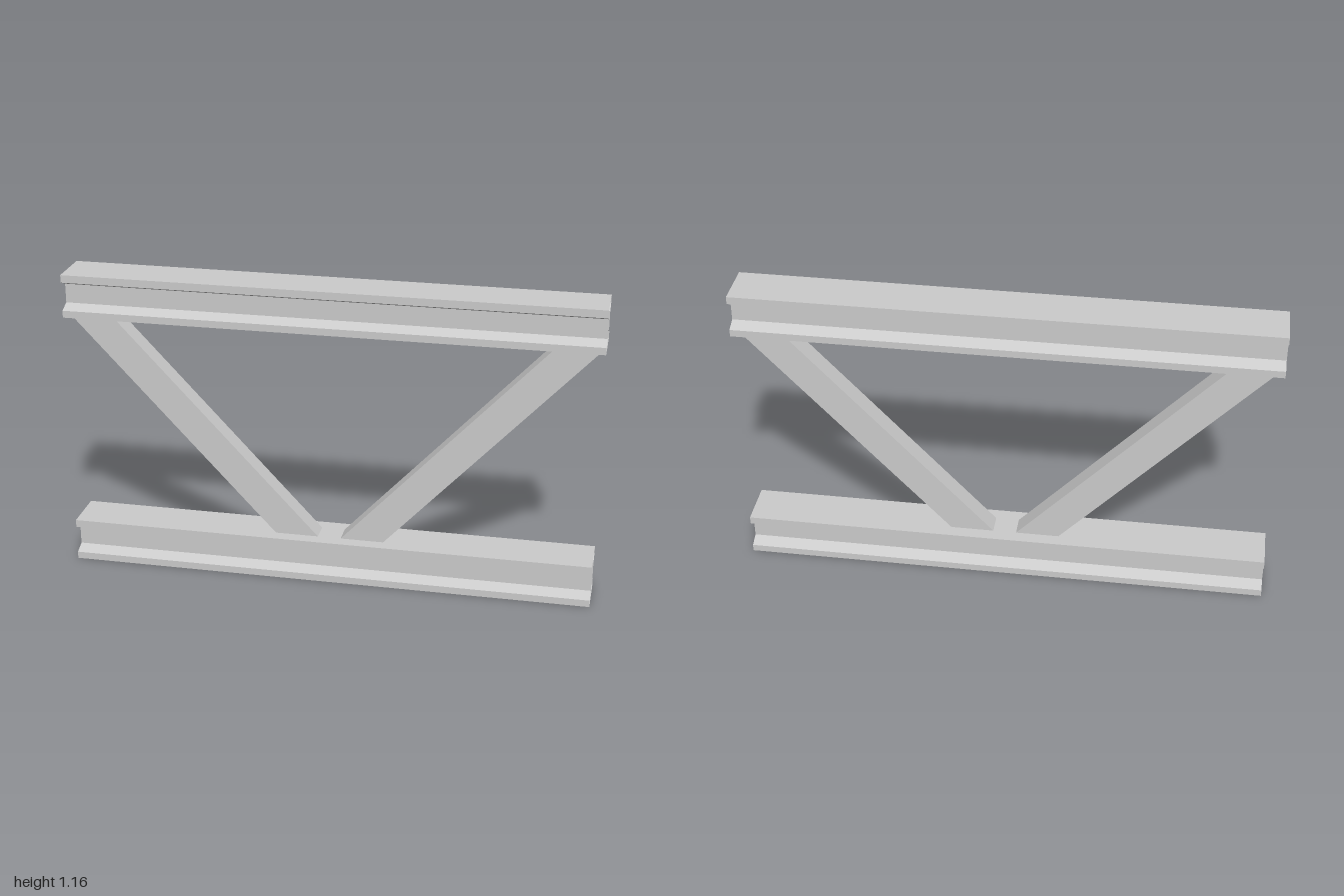
import * as THREE from 'three';

const material = new THREE.MeshStandardMaterial({ color: 0xcccccc, flatShading: true, side: THREE.DoubleSide });

// Front half of the I-beam outline as [z, y], mirrored to the back
const frontHalf = [[0.09, 0], [0.09, 0.027], [0.045, 0.045], [0.045, 0.118], [0.09, 0.136], [0.09, 0.165]];
const beamOutline = [...frontHalf, ...frontHalf.map(([z, y]) => [-z, y]).reverse()];
const strutOutline = [[0.04, -0.06], [0.04, 0.06], [-0.04, 0.06], [-0.04, -0.06]];

// Sweep a closed outline along x as an open-ended shell
function sweep(outline, length) {
  const half = length / 2;
  const positions = [];
  outline.forEach(([z0, y0], i) => {
    const [z1, y1] = outline[(i + 1) % outline.length];
    const a = [-half, y0, z0], b = [half, y0, z0], c = [half, y1, z1], d = [-half, y1, z1];
    positions.push(...a, ...b, ...c, ...a, ...c, ...d);
  });
  const geometry = new THREE.BufferGeometry();
  geometry.setAttribute('position', new THREE.Float32BufferAttribute(positions, 3));
  geometry.computeVertexNormals();
  return geometry;
}

export function createModel() {
  const group = new THREE.Group();

  // Two horizontal I-beams
  const beam = sweep(beamOutline, 2);
  for (const [name, y] of [['lowerBeam', 0], ['upperBeam', 1]]) {
    const mesh = new THREE.Mesh(beam, material);
    mesh.name = name;
    mesh.position.y = y;
    group.add(mesh);
  }

  // Two hollow diagonal struts forming a V, with their ends sunk into the beams
  const strut = sweep(strutOutline, 1.264);
  for (const [name, side] of [['leftStrut', 1], ['rightStrut', -1]]) {
    const mesh = new THREE.Mesh(strut, material);
    mesh.name = name;
    mesh.position.set(side * 0.516, 0.581, 0);
    mesh.rotation.z = side * Math.atan2(0.92, 0.861);
    group.add(mesh);
  }

  return group;
}
